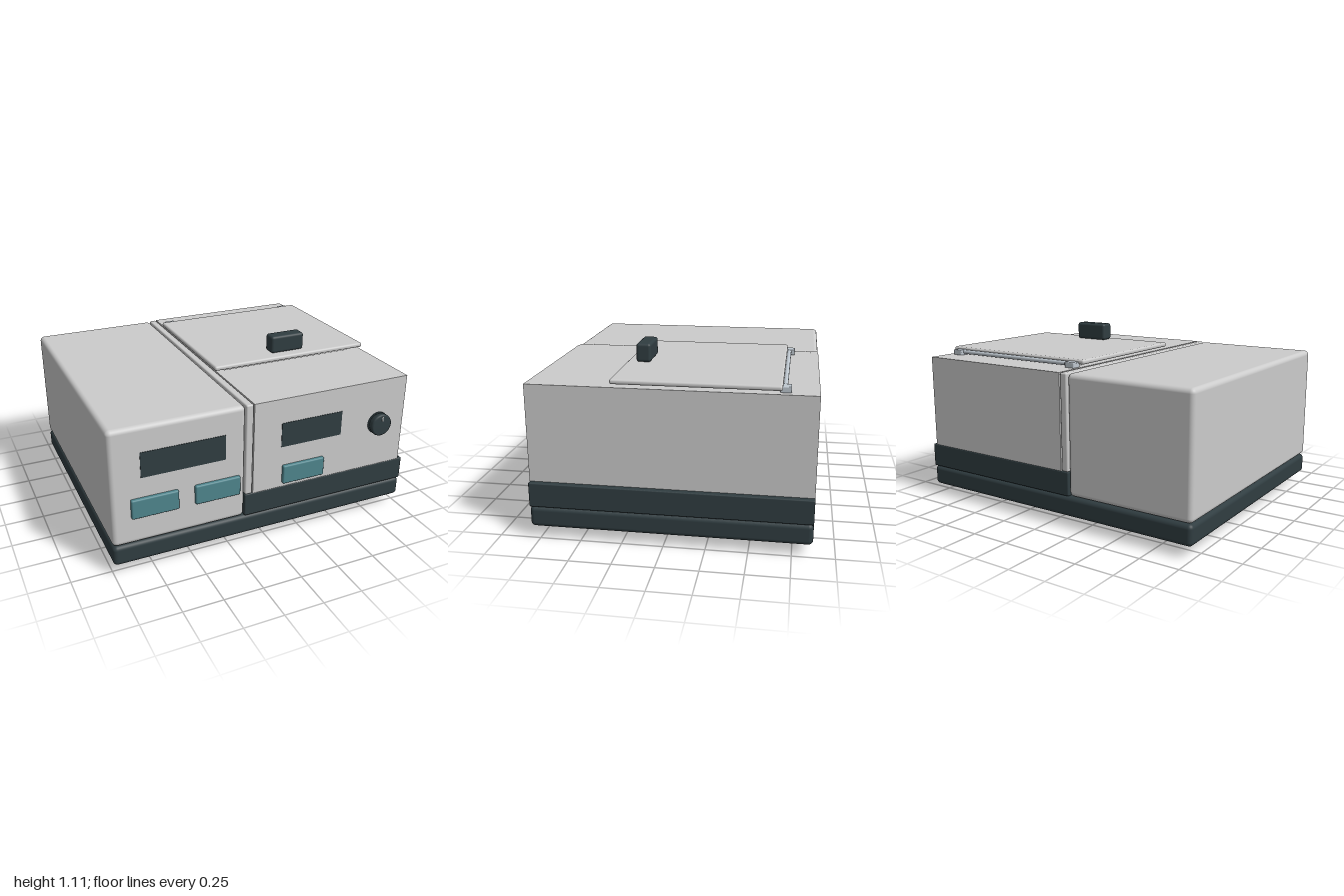
import * as THREE from 'three';
import { RoundedBoxGeometry } from 'three/addons/geometries/RoundedBoxGeometry.js';

const material = (color) => new THREE.MeshStandardMaterial({ color });

export function createModel() {
  const model = new THREE.Group();
  const grey = material(0xcccccc);
  const dark = material(0x303d41);
  const rubber = material(0x2b3032);
  const teal = material(0x4f858d);
  const steel = material(0xbfc8d0);

  function add(name, geometry, mat, x = 0, y = 0, z = 0) {
    const mesh = new THREE.Mesh(geometry, mat);
    mesh.name = name;
    mesh.position.set(x, y, z);
    model.add(mesh);
    return mesh;
  }

  // Box given by its limits; a radius rounds its edges
  function box(name, mat, [x0, x1], [y0, y1], [z0, z1], radius = 0) {
    const size = [x1 - x0, y1 - y0, z1 - z0];
    const geometry = radius
      ? new RoundedBoxGeometry(...size, 4, radius)
      : new THREE.BoxGeometry(...size);
    return add(name, geometry, mat, (x0 + x1) / 2, (y0 + y1) / 2, (z0 + z1) / 2);
  }

  function rectangle(PathType, x0, x1, z0, z1) {
    return new PathType([[x0, -z0], [x1, -z0], [x1, -z1], [x0, -z1]]
      .map(([x, y]) => new THREE.Vector2(x, y)));
  }

  const depth = [-0.87, 0.81];

  // Base, plinth and feet
  box('base', dark, [-1, 1], [0.07, 0.2], depth, 0.028);
  box('plinth', dark, [-0.16, 1], [0.2, 0.352], depth, 0.008);
  for (const x of [-0.71, 0.71]) {
    for (const z of [0.55, -0.61]) {
      add('foot', new THREE.CylinderGeometry(0.072, 0.072, 0.08, 32), rubber, x, 0.04, z);
    }
  }

  // Control housing and the narrow strip beside it
  box('controlHousing', grey, [-1, -0.163], [0.203, 0.95], depth, 0.03);
  box('jointStrip', grey, [-0.16, -0.112], [0.352, 0.95], depth, 0.01);

  // Chamber housing with a well under the lid
  box('chamberLower', grey, [-0.108, 0.967], [0.352, 0.7], depth);
  const rim = rectangle(THREE.Shape, -0.108, 0.967, ...depth);
  rim.holes.push(rectangle(THREE.Path, -0.05, 0.88, -0.58, 0.26));
  const rimGeometry = new THREE.ExtrudeGeometry(rim, { depth: 0.25, bevelEnabled: false });
  rimGeometry.rotateX(-Math.PI / 2);
  add('chamberRim', rimGeometry, grey, 0, 0.7, 0);

  // Lid with handle
  box('lid', grey, [-0.132, 0.968], [0.968, 0.998], [-0.665, 0.305], 0.013);
  box('lidHandle', dark, [0.3, 0.538], [0.998, 1.114], [0.152, 0.244], 0.018);

  // Hinge rod between two brackets
  const rod = add('hingeRod', new THREE.CylinderGeometry(0.014, 0.014, 1.02, 20), steel,
    0.415, 0.97, -0.677);
  rod.rotation.z = Math.PI / 2;
  for (const x of [-0.058, 0.892]) {
    box('hingeBracket', steel, [x - 0.035, x + 0.035], [0.948, 0.985], [-0.713, -0.65], 0.006);
  }

  // Display panels
  for (const span of [[-0.815, -0.292], [0.078, 0.498]]) {
    box('display', dark, span, [0.63, 0.79], [0.8, 0.813]);
  }

  // Push buttons
  for (const x of [-0.738, -0.345, 0.235]) {
    box('button', teal, [x - 0.145, x + 0.145], [0.378, 0.503], [0.79, 0.832], 0.01);
  }

  // Rotary knob with a softened rim and a pointer mark
  const profile = [[0, 0], [0.073, 0], [0.073, 0.043], [0.07, 0.051], [0.063, 0.055], [0, 0.055]]
    .map(([r, h]) => new THREE.Vector2(r, h));
  const knob = add('knob', new THREE.LatheGeometry(profile, 40), dark, 0.77, 0.66, 0.81);
  knob.rotation.x = Math.PI / 2;
  box('knobPointer', material(0xe8e8e8), [0.766, 0.774], [0.69, 0.722], [0.86, 0.868]);

  return model;
}
